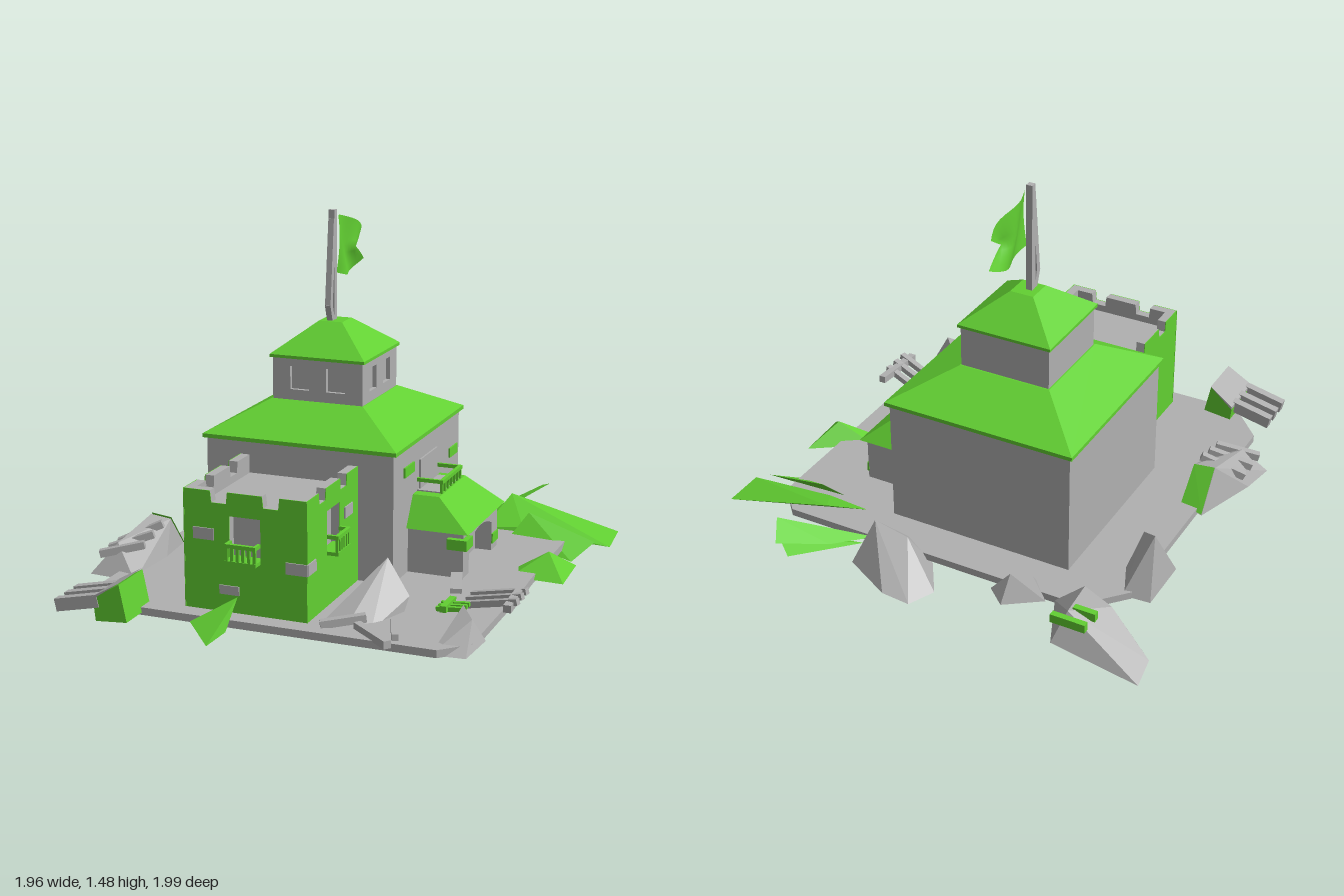
import * as THREE from 'three';
import { ConvexGeometry } from 'three/addons/geometries/ConvexGeometry.js';

export function createModel() {
  const model = new THREE.Group();
  const green = new THREE.MeshStandardMaterial({ name: 'leafGreen', color: 0x62d032, side: THREE.DoubleSide });
  const grey = new THREE.MeshStandardMaterial({ name: 'stoneGrey', color: 0xb0b0b0 });

  const add = (name, mat, geo, parent = model) => {
    const m = new THREE.Mesh(geo, mat);
    m.name = name;
    parent.add(m);
    return m;
  };
  // Box given by its limits
  const box = (name, mat, x0, x1, y0, y1, z0, z1, parent = model) => {
    const g = new THREE.BoxGeometry(x1 - x0, y1 - y0, z1 - z0);
    g.translate((x0 + x1) / 2, (y0 + y1) / 2, (z0 + z1) / 2);
    return add(name, mat, g, parent);
  };
  // Box whose top is replaced by a smaller rectangle: a = [x0,x1,z0,z1] below, b above
  const hip = (name, mat, a, y0, b, y1) => {
    const g = new THREE.BoxGeometry(1, 1, 1).toNonIndexed(), p = g.attributes.position;
    for (let i = 0; i < p.count; i++) {
      const up = p.getY(i) > 0, r = up ? b : a;
      p.setXYZ(i, r[p.getX(i) > 0 ? 1 : 0], up ? y1 : y0, r[p.getZ(i) > 0 ? 3 : 2]);
    }
    g.computeVertexNormals();
    return add(name, mat, g);
  };
  const hull = (name, mat, pts) =>
    add(name, mat, new ConvexGeometry(pts.map(p => new THREE.Vector3(...p))));
  const shapeOf = pts => new THREE.Shape(pts.map(p => new THREE.Vector2(...p)));
  const rect = (u0, u1, y0, y1) => shapeOf([[u0, y0], [u1, y0], [u1, y1], [u0, y1]]);
  const extrude = (shape, depth, z) => {
    const g = new THREE.ExtrudeGeometry(shape, { depth, bevelEnabled: false });
    return g.translate(0, 0, z);
  };
  // Group standing on one side of a block; local z points outward
  const side = (name, x, z, ry) => {
    const g = new THREE.Group();
    g.name = name;
    g.position.set(x, 0, z);
    g.rotation.y = ry;
    model.add(g);
    return g;
  };
  // Straight beam between two points
  const beam = (name, mat, a, b, w, h = w) => {
    const A = new THREE.Vector3(...a), B = new THREE.Vector3(...b);
    const m = add(name, mat, new THREE.BoxGeometry(w, h, A.distanceTo(B)));
    m.position.copy(A).lerp(B, 0.5);
    m.lookAt(B);
    return m;
  };

  // Ground slab with cut corners
  const slab = extrude(shapeOf([[-0.6, -0.86], [0.7, -0.86], [0.8, -0.76], [0.8, 0.58],
    [0.7, 0.69], [-0.6, 0.69], [-0.745, 0.53], [-0.745, -0.7]]), 0.03, 0.05);
  add('groundSlab', grey, slab.rotateX(-Math.PI / 2));

  // Main hall and its roof
  box('hallWalls', grey, -0.47, 0.32, 0.07, 0.61, -0.52, 0.275);
  box('hallEaves', green, -0.485, 0.335, 0.598, 0.614, -0.535, 0.287);
  hip('hallRoof', green, [-0.485, 0.335, -0.535, 0.287], 0.614, [-0.275, 0.118, -0.316, 0.08], 0.73);
  for (const [z0, z1, y0, y1] of [[0.05, 0.16, 0.48, 0.52], [-0.49, -0.39, 0.42, 0.46]])
    box('hallBrick', green, 0.318, 0.327, y0, y1, z0, z1);

  // Upper tower: core with window panels on the front and right
  box('upperTowerCore', grey, -0.27, 0.098, 0.72, 0.91, -0.31, 0.058);
  for (const ry of [0, Math.PI / 2]) {
    const g = side('upperTowerWall', -0.0775, -0.1175, ry);
    const s = rect(-0.1925, 0.1925, 0.72, 0.91);
    for (const u of [-0.0775, 0.0775]) s.holes.push(rect(u - 0.04, u + 0.04, 0.773, 0.868));
    add('windowPanel', grey, extrude(s, 0.017, 0.1755), g);
  }
  box('upperEaves', green, -0.28, 0.125, 0.9, 0.912, -0.32, 0.085);
  hip('upperRoof', green, [-0.28, 0.125, -0.32, 0.085], 0.912, [-0.13, -0.03, -0.175, -0.07], 1.03);

  // Flagpole, brace and waving flag
  box('flagpole', grey, -0.103, -0.077, 1.02, 1.475, -0.133, -0.107);
  beam('flagpoleBrace', grey, [-0.09, 1.03, -0.1], [-0.09, 1.1, -0.075], 0.024);
  beam('flagpoleBrace', grey, [-0.09, 1.09, -0.077], [-0.09, 1.44, -0.115], 0.024);
  const flag = new THREE.PlaneGeometry(1, 1, 12, 8), fp = flag.attributes.position;
  for (let i = 0; i < fp.count; i++) {
    const u = fp.getX(i) + 0.5, v = fp.getY(i) + 0.5;
    const reach = 0.28 - 0.1 * u * (1 - Math.abs(2 * v - 1));
    const top = 1.45 - 0.01 * u - 0.075 * u * u, low = 1.22 + 0.02 * u * u - 0.03 * Math.sin(u * 3);
    fp.setXYZ(i, -0.078 + 0.014 * Math.sin(u * 7 + v * 2.5), low + (top - low) * v, -0.13 - reach * u);
  }
  flag.computeVertexNormals();
  add('flag', green, flag);

  // Front tower: battlemented walls with a green skin
  box('frontTowerCore', grey, -0.29, 0.14, 0.07, 0.47, 0.27, 0.745);
  const battlement = w => shapeOf([[-w, 0.07], [w, 0.07], [w, 0.545], [0.14, 0.545], [0.135, 0.5], [0.075, 0.5],
    [0.07, 0.545], [-0.07, 0.545], [-0.075, 0.5], [-0.135, 0.5], [-0.14, 0.545], [-w, 0.545]]);
  const walls = [
    [0, 0.255, 0.25, true, [[-0.21, -0.125, 0.355, 0.4], [0.165, 0.25, 0.26, 0.305], [-0.105, -0.025, 0.15, 0.185]]],
    [Math.PI / 2, 0.25, 0.255, true, [[0.11, 0.19, 0.375, 0.42], [-0.255, -0.175, 0.26, 0.305]]],
    [-Math.PI / 2, 0.25, 0.255, false, []]];
  for (const [ry, d, w, open, bricks] of walls) {
    const g = side('frontTowerWall', -0.075, 0.53, ry);
    const stone = battlement(w - 0.004), skin = battlement(w);
    if (open) for (const s of [stone, skin]) s.holes.push(rect(-0.063, 0.063, 0.285, 0.455));
    add('battlement', grey, extrude(stone, 0.036, d - 0.04), g);
    add('paintedSkin', green, extrude(skin, 0.003, d - 0.004), g);
    for (const [u0, u1, y0, y1] of bricks) box('brick', grey, u0, u1, y0, y1, d - 0.002, d + 0.004, g);
    if (!open) continue;
    // Balcony with balusters
    box('balconyFloor', green, -0.063, 0.063, 0.283, 0.297, d - 0.03, d + 0.045, g);
    box('balconyRail', green, -0.063, 0.063, 0.347, 0.362, d + 0.03, d + 0.045, g);
    for (let i = 0; i < 6; i++) {
      const u = -0.056 + i * 0.0224;
      box('baluster', green, u - 0.006, u + 0.006, 0.29, 0.35, d + 0.033, d + 0.043, g);
    }
    for (const s of [-1, 1]) box('balconySideRail', green, s * 0.057 - 0.006, s * 0.057 + 0.006, 0.347, 0.362, d, d + 0.035, g);
  }

  // Side porch with arched doorway
  box('porchCore', grey, 0.31, 0.48, 0.07, 0.27, -0.345, 0.105);
  const porch = side('porchFront', 0.3, -0.12, Math.PI / 2);
  const face = rect(-0.225, 0.225, 0.07, 0.27), door = new THREE.Path();
  door.moveTo(-0.15, 0.08).lineTo(0.15, 0.08).lineTo(0.15, 0.2).quadraticCurveTo(0, 0.27, -0.15, 0.2).lineTo(-0.15, 0.08);
  face.holes.push(door);
  add('doorway', grey, extrude(face, 0.08, 0.17), porch);
  box('porchBrick', green, 0.49, 0.572, 0.2, 0.243, 0.05, 0.13);
  box('porchBrick', green, 0.548, 0.556, 0.11, 0.15, -0.346, -0.27);
  hip('porchRoof', green, [0.32, 0.575, -0.365, 0.125], 0.265, [0.32, 0.43, -0.28, 0.05], 0.385);
  box('porchBalconyFloor', grey, 0.32, 0.42, 0.38, 0.39, -0.235, 0);
  box('balconyDoor', grey, 0.318, 0.328, 0.385, 0.51, -0.225, -0.02);
  box('porchRail', green, 0.415, 0.43, 0.425, 0.44, -0.24, 0.005);
  for (let i = 0; i < 7; i++) box('porchBaluster', green, 0.417, 0.428, 0.385, 0.43, -0.238 + i * 0.0385, -0.227 + i * 0.0385);
  for (const z of [-0.24, -0.007]) box('porchSideRail', green, 0.32, 0.43, 0.425, 0.44, z, z + 0.012);

  // Boulders around the edge
  hull('backLeftRock', grey, [[-0.98, 0.05, -0.97], [-0.98, 0.1, -0.88], [-0.88, 0.05, -0.76], [-0.76, 0.05, -0.73],
    [-0.66, 0.05, -0.65], [-0.59, 0.09, -0.64], [-0.51, 0.08, -0.71], [-0.62, 0.1, -0.96], [-0.66, 0.22, -0.9], [-0.78, 0.2, -0.78], [-0.65, 0.22, -0.74]]);
  box('backLeftChip', green, -0.76, -0.62, 0.2, 0.235, -0.965, -0.94);
  box('backLeftChip', green, -0.76, -0.67, 0.19, 0.225, -0.88, -0.855);
  hull('leftRock', grey, [[-0.82, 0.05, -0.52], [-0.71, 0.06, -0.54], [-0.66, 0.08, -0.4], [-0.67, 0.07, -0.25], [-0.71, 0.05, -0.21],
    [-0.82, 0.05, -0.28], [-0.79, 0.295, -0.43], [-0.7, 0.22, -0.33]]);
  hull('backRock', grey, [[-0.47, 0.06, -0.71], [-0.33, 0.06, -0.81], [-0.26, 0.08, -0.76], [-0.27, 0.07, -0.67], [-0.38, 0.06, -0.61],
    [-0.34, 0.17, -0.75], [-0.41, 0.15, -0.7]]);
  hull('backRock', grey, [[-0.05, 0.03, -0.83], [0.0, 0.03, -0.94], [0.11, 0.05, -0.95], [0.31, 0.06, -0.85], [0.32, 0.08, -0.7],
    [0.21, 0.04, -0.58], [0.07, 0, -0.64], [0.1, 0.2, -0.77], [0.24, 0.24, -0.78]]);
  hull('leftSlab', grey, [[-0.88, 0.05, 0.52], [-0.86, 0.06, 0.36], [-0.77, 0.06, 0.08], [-0.67, 0.07, 0.1], [-0.65, 0.07, 0.3],
    [-0.66, 0.06, 0.56], [-0.77, 0.22, 0.2], [-0.68, 0.21, 0.2], [-0.79, 0.17, 0.45]]);
  hull('leftSlabPaint', green, [[-0.77, 0.065, 0.078], [-0.67, 0.075, 0.097], [-0.68, 0.215, 0.195], [-0.77, 0.225, 0.195]]);
  for (let i = 0; i < 3; i++)
    beam('leftSlabBar', grey, [-0.85, 0.13, 0.33 + i * 0.08], [-0.68, 0.21 - i * 0.02, 0.27 + i * 0.08], 0.03);
  hull('frontRightRock', grey, [[0.2, 0.06, 0.74], [0.28, 0.06, 0.68], [0.36, 0.25, 0.44], [0.47, 0.13, 0.5], [0.4, 0.06, 0.72],
    [0.31, 0.06, 0.78], [0.33, 0.06, 0.43], [0.46, 0.06, 0.55]]);
  hull('cornerRock', grey, [[0.67, 0.05, 0.84], [0.8, 0.05, 0.83], [0.82, 0.06, 0.66], [0.76, 0.06, 0.56], [0.69, 0.06, 0.62],
    [0.72, 0.17, 0.62], [0.78, 0.15, 0.7]]);

  // Green shards
  const shards = [
    [[0.32, 0.06, -0.67], [0.42, 0.1, -0.84], [0.56, 0.16, -1], [0.62, 0.2, -0.9], [0.4, 0.07, -0.73]],
    [[0.36, 0.03, -0.69], [0.56, 0.05, -0.93], [0.63, 0.08, -0.88], [0.61, 0.05, -0.78]],
    [[0.43, 0.08, -0.55], [0.5, 0.19, -0.73], [0.97, 0.07, -0.74], [0.98, 0.06, -0.55], [0.6, 0.1, -0.56]],
    [[0.56, 0.07, -0.5], [0.62, 0.16, -0.58], [0.92, 0.08, -0.53], [0.85, 0.02, -0.42]],
    [[0.68, 0.06, -0.11], [0.91, 0.06, -0.27], [0.92, 0.06, -0.03], [0.7, 0.06, -0.04], [0.83, 0.15, -0.14]],
    [[-0.26, 0.06, 0.88], [-0.14, 0.02, 0.99], [-0.09, 0.06, 0.93], [-0.1, 0.15, 0.8], [-0.2, 0.06, 0.8]]];
  for (const s of shards) hull('greenShard', green, s);

  // Fallen battlement at the front left
  hull('fallenWall', green, [[-0.6, 0.05, 0.77], [-0.47, 0.06, 0.79], [-0.47, 0.06, 0.98], [-0.6, 0.05, 0.98],
    [-0.5, 0.205, 0.79], [-0.5, 0.205, 0.98], [-0.61, 0.14, 0.77], [-0.61, 0.14, 0.98]]);
  hull('fallenWallTop', grey, [[-0.5, 0.21, 0.785], [-0.5, 0.21, 0.985], [-0.61, 0.147, 0.765], [-0.61, 0.147, 0.985],
    [-0.61, 0.135, 0.765], [-0.61, 0.135, 0.985]]);
  for (const z of [0.82, 0.89, 0.965]) beam('fallenMerlon', grey, [-0.59, 0.13, z], [-0.77, 0.09, z], 0.036, 0.05);

  // Broken railings and planks on the right
  for (let i = 0; i < 3; i++) {
    beam('brokenBar', grey, [0.65, 0.09, 0.29 + i * 0.06], [0.88, 0.15, 0.34 + i * 0.06], 0.025);
    beam('greenBar', green, [0.58, 0.1, 0.45 + i * 0.03], [0.69, 0.11, 0.45 + i * 0.03], 0.017);
  }
  beam('brokenRail', grey, [0.85, 0.15, 0.24], [0.85, 0.13, 0.5], 0.03);
  beam('greenRail', green, [0.615, 0.11, 0.42], [0.615, 0.11, 0.54], 0.025);
  beam('plank', grey, [0.53, 0.1, 0.12], [0.58, 0.09, 0.28], 0.045, 0.02);
  beam('plank', grey, [0.23, 0.09, 0.8], [0.38, 0.11, 0.72], 0.03);
  beam('plank', grey, [0.36, 0.09, 0.76], [0.53, 0.09, 0.9], 0.03);
  beam('plank', grey, [0.48, 0.1, 0.7], [0.54, 0.1, 0.85], 0.025);
  return model;
}
